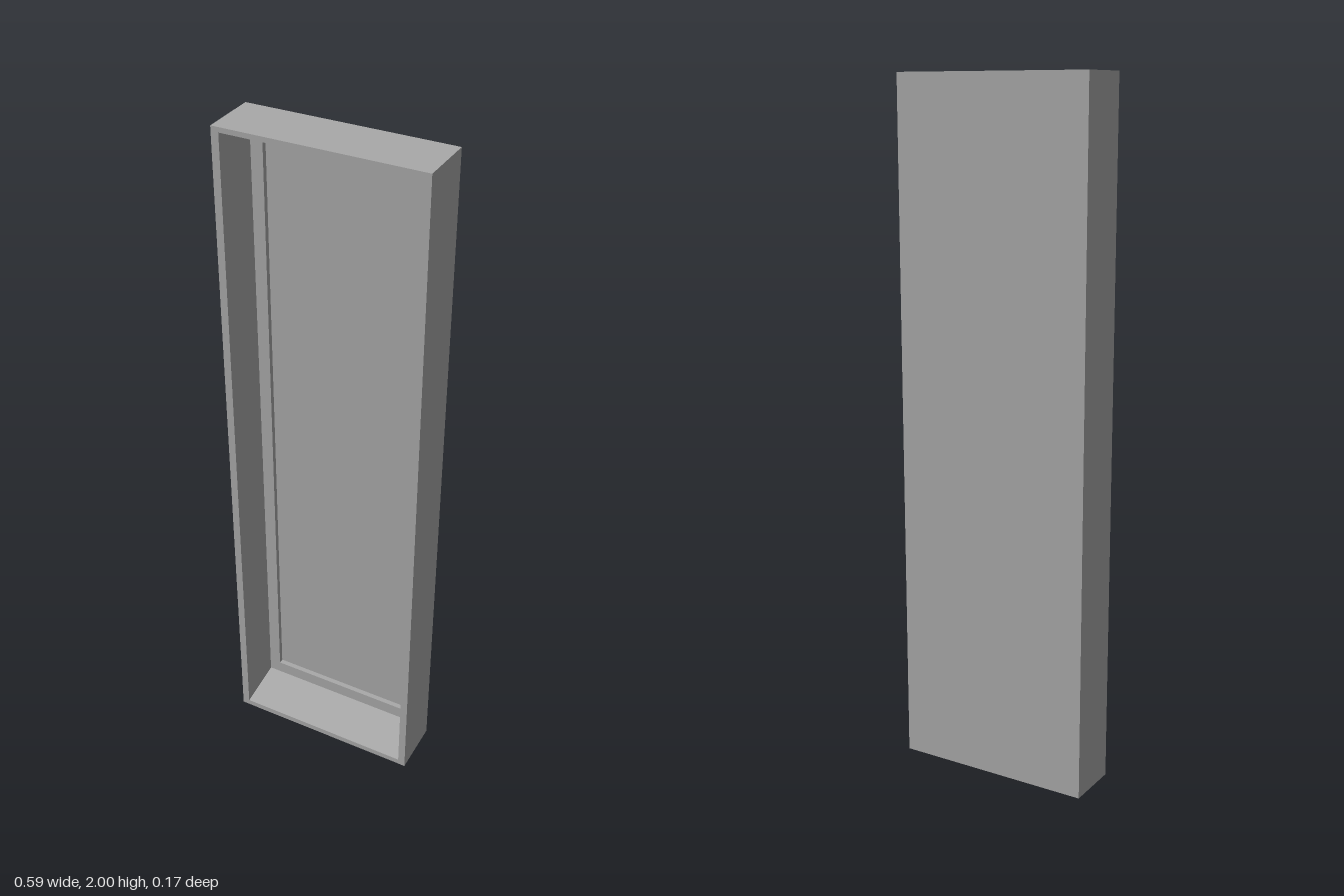
import * as THREE from 'three';

// Rectangular cross-section: half width, bottom, top, depth position
const ring = (w, y0, y1, z) => [[-w, y0, z], [w, y0, z], [w, y1, z], [-w, y1, z]];

// Joins successive rectangles with flat faces and caps both ends
function loftRings(rings) {
  const pos = [];
  const quad = (a, b, c, d) => pos.push(...a, ...b, ...c, ...a, ...c, ...d);
  const first = rings[0], last = rings[rings.length - 1];
  quad(first[3], first[2], first[1], first[0]);
  for (let i = 0; i < rings.length - 1; i++) {
    const p = rings[i], q = rings[i + 1];
    for (let k = 0; k < 4; k++) {
      const n = (k + 1) % 4;
      quad(p[k], p[n], q[n], q[k]);
    }
  }
  quad(last[0], last[1], last[2], last[3]);
  const geometry = new THREE.BufferGeometry();
  geometry.setAttribute('position', new THREE.Float32BufferAttribute(pos, 3));
  geometry.computeVertexNormals();
  return geometry;
}

export function createModel() {
  const group = new THREE.Group();
  group.name = 'wallNiche';
  const grey = new THREE.MeshStandardMaterial({ color: 0xa9a9a9 });
  grey.name = 'grey';

  const shell = new THREE.Mesh(loftRings([
    ring(0.294, 0, 2, -0.083),           // outer back
    ring(0.294, 0, 2, 0.083),            // outer front
    ring(0.272, 0.018, 1.986, 0.083),    // front opening
    ring(0.272, 0.04, 1.986, -0.062),    // inner back, with sloped floor
    ring(0.236, 0.08, 1.934, -0.062),    // ledge around the back panel
    ring(0.236, 0.08, 1.934, -0.077),    // recessed back panel
  ]), grey);
  shell.name = 'nicheShell';
  group.add(shell);
  return group;
}
